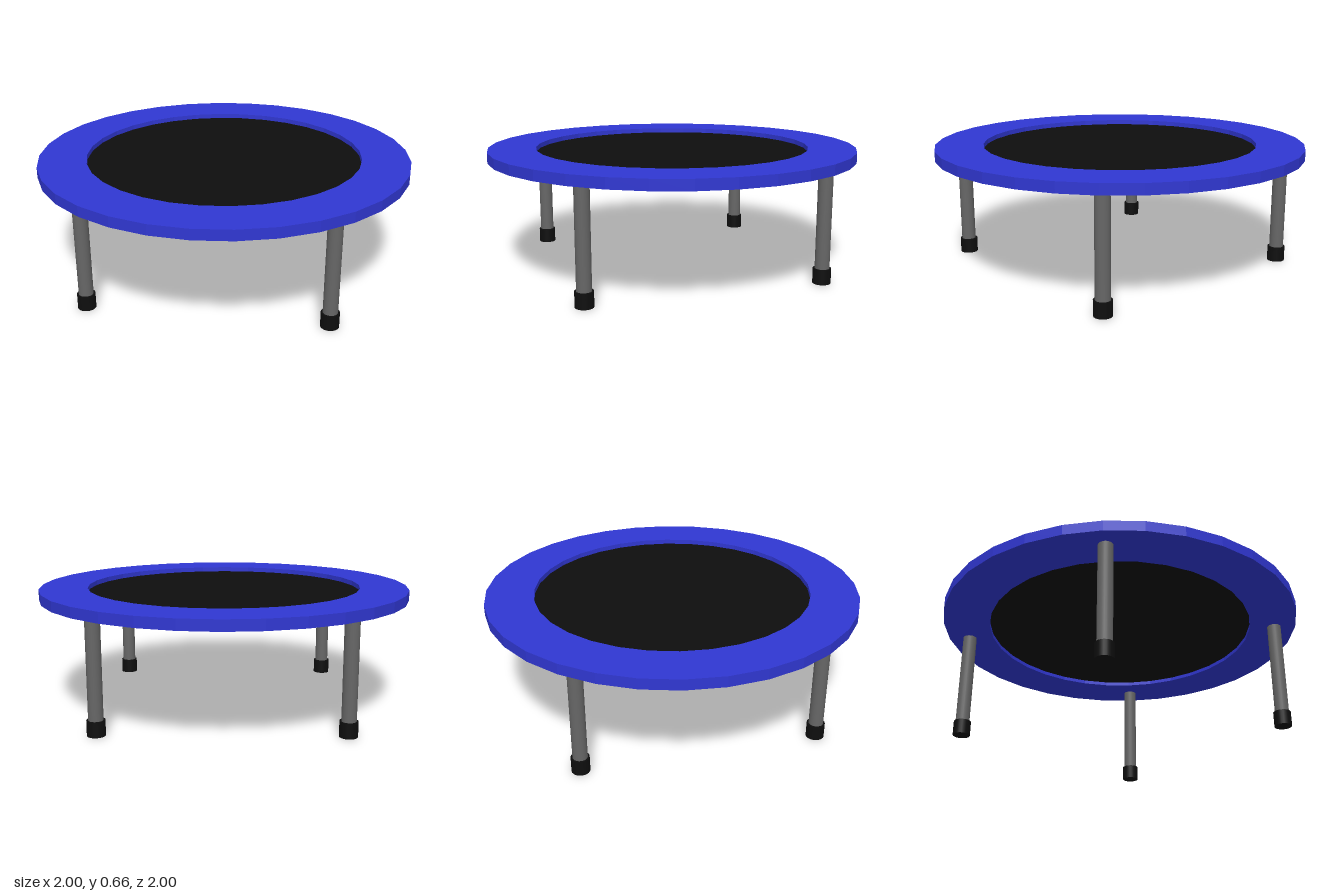
import * as THREE from 'three';

const SIDES = 32;
const OUTER = 1, INNER = 0.743;
const RING_BOTTOM = 0.605, RING_TOP = 0.66;
const LEG_OFFSET = 0.622, FOOT_HEIGHT = 0.08;

function addMesh(parent, name, geometry, material, y = 0) {
  const mesh = new THREE.Mesh(geometry, material);
  mesh.name = name;
  mesh.position.y = y;
  parent.add(mesh);
  return mesh;
}

export function createModel() {
  const model = new THREE.Group();
  model.name = 'trampoline';

  const blue = new THREE.MeshStandardMaterial({ color: 0x3037d2, flatShading: true });
  const black = new THREE.MeshStandardMaterial({ color: 0x0e0e0e });
  const steel = new THREE.MeshStandardMaterial({ color: 0x666666 });

  // Padded rim: a rectangular section swept round the centre
  const section = [
    [INNER, RING_BOTTOM], [OUTER, RING_BOTTOM], [OUTER, RING_TOP],
    [INNER, RING_TOP], [INNER, RING_BOTTOM],
  ].map(([r, y]) => new THREE.Vector2(r, y));
  addMesh(model, 'paddedRim', new THREE.LatheGeometry(section, SIDES), blue);

  // Jumping mat, set midway down inside the rim
  addMesh(model, 'jumpingMat', new THREE.CylinderGeometry(INNER, INNER, 0.008, SIDES), black, 0.63);

  // Four legs with rubber feet
  const legHeight = RING_BOTTOM - FOOT_HEIGHT / 2;
  const legGeometry = new THREE.CylinderGeometry(0.038, 0.038, legHeight, 24);
  const footGeometry = new THREE.CylinderGeometry(0.047, 0.047, FOOT_HEIGHT, 24);
  for (const [side, sx] of [['Left', 1], ['Right', -1]]) {
    for (const [end, sz] of [['front', 1], ['back', -1]]) {
      const leg = new THREE.Group();
      leg.name = `${end}${side}Leg`;
      leg.position.set(sx * LEG_OFFSET, 0, sz * LEG_OFFSET);
      addMesh(leg, 'legTube', legGeometry, steel, RING_BOTTOM - legHeight / 2);
      addMesh(leg, 'rubberFoot', footGeometry, black, FOOT_HEIGHT / 2);
      model.add(leg);
    }
  }

  return model;
}
